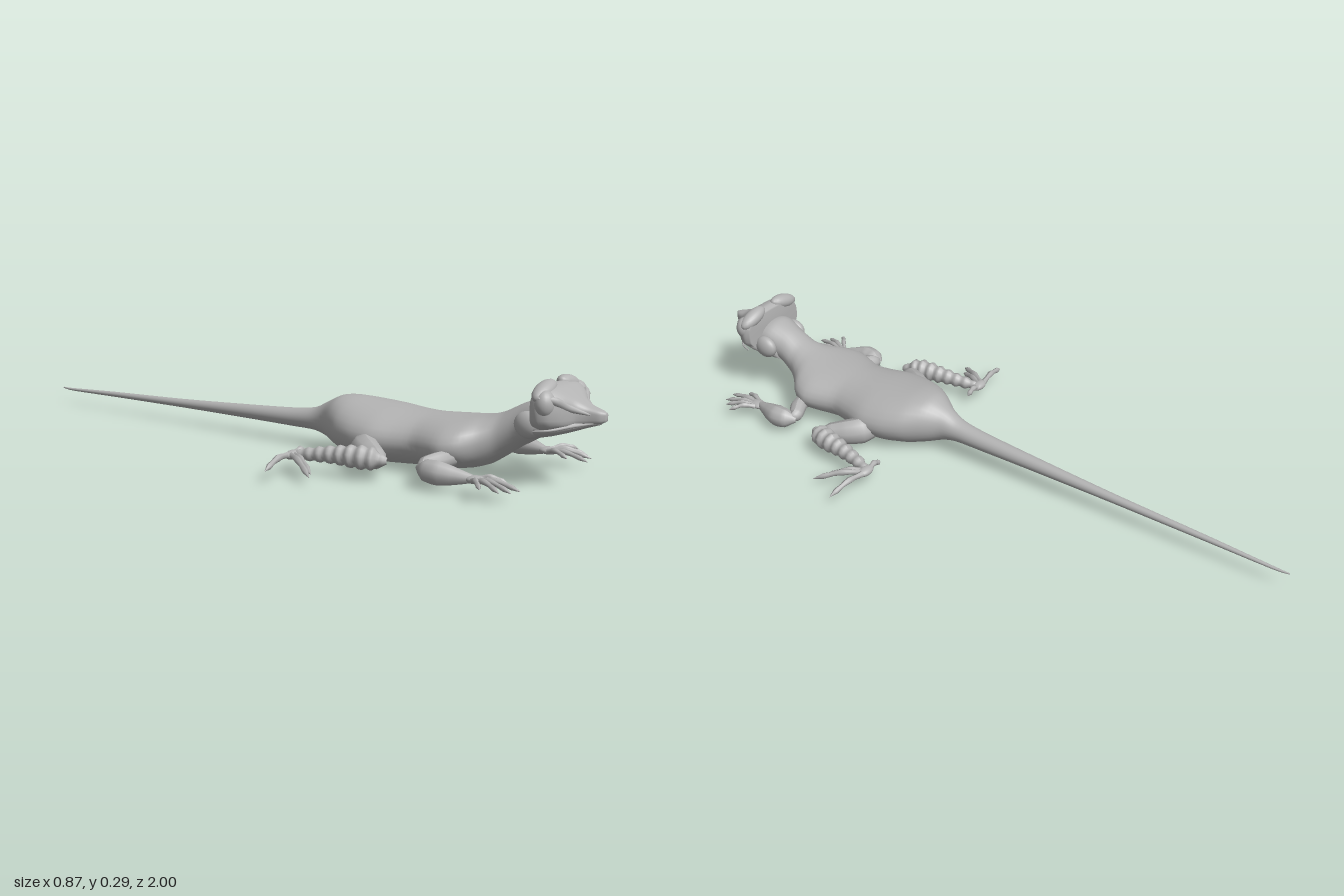
import * as THREE from 'three';

const skin = new THREE.MeshStandardMaterial({ color: 0xb2b2b2 });
skin.name = 'grey skin';

function add(parent, name, geometry) {
  const mesh = new THREE.Mesh(geometry, skin);
  mesh.name = name;
  parent.add(mesh);
  return mesh;
}

function group(parent, name) {
  const g = new THREE.Group();
  g.name = name;
  parent.add(g);
  return g;
}

// Closed skin over rings [z, half width, bottom y, top y], listed from front to back.
function loft(rings, power = 2, steps = 4, sides = 28) {
  const smooth = (pick) => new THREE.CatmullRomCurve3(rings.map(pick), false, 'catmullrom', 0.4);
  const size = smooth((r) => new THREE.Vector3(r[1], r[2], r[3]));
  const place = smooth((r) => new THREE.Vector3(0, 0, r[0]));
  const count = (rings.length - 1) * steps;
  const pos = [], index = [];
  const bend = (v) => Math.sign(v) * Math.pow(Math.abs(v), 2 / power);
  for (let i = 0; i <= count; i++) {
    const s = size.getPoint(i / count), z = place.getPoint(i / count).z;
    for (let j = 0; j < sides; j++) {
      const a = (j / sides) * Math.PI * 2;
      pos.push(s.x * bend(Math.cos(a)), (s.y + s.z) / 2 + ((s.z - s.y) / 2) * bend(Math.sin(a)), z);
    }
  }
  for (let i = 0; i < count; i++) {
    for (let j = 0; j < sides; j++) {
      const a = i * sides + j, b = i * sides + ((j + 1) % sides);
      index.push(a, a + sides, b, b, a + sides, b + sides);
    }
  }
  // End caps
  for (const end of [0, count]) {
    const s = size.getPoint(end / count), c = pos.length / 3;
    pos.push(0, (s.y + s.z) / 2, place.getPoint(end / count).z);
    for (let j = 0; j < sides; j++) {
      const a = end * sides + j, b = end * sides + ((j + 1) % sides);
      if (end === 0) index.push(c, a, b); else index.push(c, b, a);
    }
  }
  const g = new THREE.BufferGeometry();
  g.setAttribute('position', new THREE.Float32BufferAttribute(pos, 3));
  g.setIndex(index);
  g.computeVertexNormals();
  return g;
}

// Tube through points with radii spread evenly along its length; folds adds skin rings.
function limb(points, radii, { segments = 24, sides = 10, folds = 0 } = {}) {
  const path = new THREE.CatmullRomCurve3(points.map((p) => new THREE.Vector3(...p)));
  const g = new THREE.TubeGeometry(path, segments, 1, sides, false);
  const p = g.attributes.position, v = new THREE.Vector3();
  for (let i = 0; i <= segments; i++) {
    const u = i / segments, t = u * (radii.length - 1), k = Math.min(Math.floor(t), radii.length - 2);
    const r = THREE.MathUtils.lerp(radii[k], radii[k + 1], t - k) * (1 + (folds ? 0.12 * Math.sin(u * folds * Math.PI * 2) : 0));
    const centre = path.getPointAt(u);
    for (let j = 0; j <= sides; j++) {
      const n = i * (sides + 1) + j;
      v.fromBufferAttribute(p, n).sub(centre).multiplyScalar(r).add(centre);
      p.setXYZ(n, v.x, v.y, v.z);
    }
  }
  g.computeVertexNormals();
  return g;
}

function ball(parent, name, at, scale, turn = [0, 0, 0]) {
  const mesh = add(parent, name, new THREE.SphereGeometry(1, 20, 14));
  mesh.position.set(...at);
  mesh.scale.set(...scale);
  mesh.rotation.set(...turn);
}

// Toe with an arched middle, a knuckle and a pointed claw
function toe(parent, name, from, to, r) {
  const at = (t, lift) => from.map((f, i) => f + (to[i] - f) * t + (i === 1 ? lift : 0));
  add(parent, name, limb([from, at(0.4, 0.01), at(0.75, 0.006), to],
    [r, r * 0.8, r * 1.05, r * 0.75, r * 0.9, 0.0008], { segments: 15, sides: 7 }));
}

// Half-sunk eye, eyelid, brow ridge, lip and cheek
function addFace(parent, s) {
  const face = group(parent, s > 0 ? 'leftFace' : 'rightFace');
  const m = (p) => [p[0] * s, p[1], p[2]];
  ball(face, 'eye', m([0.094, 0.235, 0.872]), [0.031, 0.036, 0.027]);
  ball(face, 'eyelid', m([0.07, 0.264, 0.858]), [0.054, 0.023, 0.025], [0, 0, -0.3 * s]);
  add(face, 'brow', limb([[0.12, 0.252, 0.866], [0.092, 0.245, 0.895], [0.055, 0.224, 0.918], [0.022, 0.206, 0.965]].map(m),
    [0.004, 0.012, 0.009, 0.002], { sides: 8 }));
  add(face, 'lip', limb([[0.112, 0.164, 0.85], [0.1, 0.168, 0.886], [0.045, 0.176, 0.93], [0.004, 0.187, 0.99]].map(m),
    [0.002, 0.004, 0.004, 0.002], { sides: 8 }));
  ball(face, 'cheek', m([0.068, 0.17, 0.815]), [0.024, 0.036, 0.04]);
  ball(face, 'nostril', m([0.015, 0.206, 0.975]), [0.005, 0.004, 0.006]);
}

function addLegs(parent, s) {
  const m = (p) => [p[0] * s, p[1], p[2]];

  // Front leg
  const front = group(parent, s > 0 ? 'leftFrontLeg' : 'rightFrontLeg');
  add(front, 'upperArm', limb([[0.1, 0.065, 0.62], [0.155, 0.062, 0.61], [0.2, 0.055, 0.59], [0.225, 0.05, 0.605]].map(m),
    [0.024, 0.024, 0.025, 0.022, 0.004]));
  add(front, 'forearm', limb([[0.208, 0.05, 0.575], [0.222, 0.048, 0.63], [0.212, 0.044, 0.69], [0.2, 0.042, 0.745]].map(m),
    [0.008, 0.03, 0.034, 0.027, 0.018, 0.008]));
  ball(front, 'hand', m([0.204, 0.042, 0.745]), [0.021, 0.011, 0.028]);
  [[0.168, 0.035, 0.82], [0.195, 0.028, 0.868], [0.232, 0.03, 0.862], [0.255, 0.032, 0.84], [0.28, 0.04, 0.8]].forEach((tip, i) =>
    toe(front, 'finger' + (i + 1), m([0.192 + i * 0.007, 0.042, 0.745]), m(tip), 0.0078));

  // Hind leg with folded skin along the shin
  const hind = group(parent, s > 0 ? 'leftHindLeg' : 'rightHindLeg');
  add(hind, 'thigh', limb([[0.1, 0.06, 0.34], [0.15, 0.058, 0.37], [0.195, 0.052, 0.43], [0.228, 0.05, 0.482]].map(m),
    [0.03, 0.042, 0.038, 0.03, 0.006]));
  add(hind, 'shin', limb([[0.222, 0.055, 0.488], [0.245, 0.06, 0.42], [0.258, 0.058, 0.34], [0.272, 0.052, 0.27], [0.288, 0.048, 0.215]].map(m),
    [0.008, 0.032, 0.03, 0.025, 0.021, 0.017, 0.006], { segments: 64, folds: 9 }));
  ball(hind, 'foot', m([0.29, 0.048, 0.226]), [0.03, 0.013, 0.018]);
  [[0.225, 0.04, 0.225], [0.355, 0.022, 0.335], [0.385, 0.022, 0.352], [0.435, 0.032, 0.243]].forEach((tip, i) =>
    toe(hind, 'toe' + (i + 1), m([0.275 + i * 0.012, 0.05, 0.222]), m(tip), 0.0095));
}

export function createModel() {
  const lizard = new THREE.Group();
  lizard.name = 'lizard';

  // Neck, trunk and tail in one skin
  add(lizard, 'body', loft([
    [0.86, 0.07, 0.15, 0.23], [0.82, 0.07, 0.125, 0.232], [0.77, 0.062, 0.095, 0.212], [0.72, 0.07, 0.06, 0.185],
    [0.68, 0.098, 0.035, 0.172], [0.64, 0.138, 0.022, 0.165], [0.59, 0.153, 0.014, 0.16], [0.5, 0.124, 0.007, 0.156],
    [0.44, 0.133, 0.003, 0.157], [0.37, 0.152, 0, 0.162], [0.3, 0.144, 0.001, 0.167], [0.24, 0.12, 0.006, 0.171],
    [0.19, 0.085, 0.018, 0.167], [0.14, 0.048, 0.037, 0.143], [0.09, 0.035, 0.049, 0.118], [0, 0.029, 0.05, 0.105],
    [-0.2, 0.021, 0.051, 0.092], [-0.45, 0.014, 0.051, 0.078], [-0.75, 0.009, 0.049, 0.066], [-0.95, 0.005, 0.047, 0.056],
    [-1, 0.0015, 0.051, 0.055],
  ]));

  // Head, sitting slightly to its left
  const head = group(lizard, 'head');
  head.position.x = 0.007;

  // Tall flat back, steep brow, pointed snout
  add(head, 'skull', loft([
    [1, 0.006, 0.19, 0.212], [0.985, 0.018, 0.183, 0.218], [0.955, 0.028, 0.176, 0.227], [0.93, 0.045, 0.17, 0.241],
    [0.908, 0.084, 0.164, 0.258], [0.885, 0.11, 0.159, 0.273], [0.86, 0.119, 0.156, 0.279], [0.838, 0.11, 0.16, 0.27],
  ], 3.2));

  // Lower jaw and throat
  add(head, 'jaw', loft([
    [0.985, 0.01, 0.18, 0.192], [0.95, 0.028, 0.168, 0.19], [0.91, 0.066, 0.153, 0.19],
    [0.87, 0.09, 0.14, 0.19], [0.82, 0.082, 0.126, 0.19], [0.78, 0.055, 0.11, 0.18],
  ], 2.2));

  for (const s of [1, -1]) {
    addFace(head, s);
    addLegs(lizard, s);
  }
  return lizard;
}
